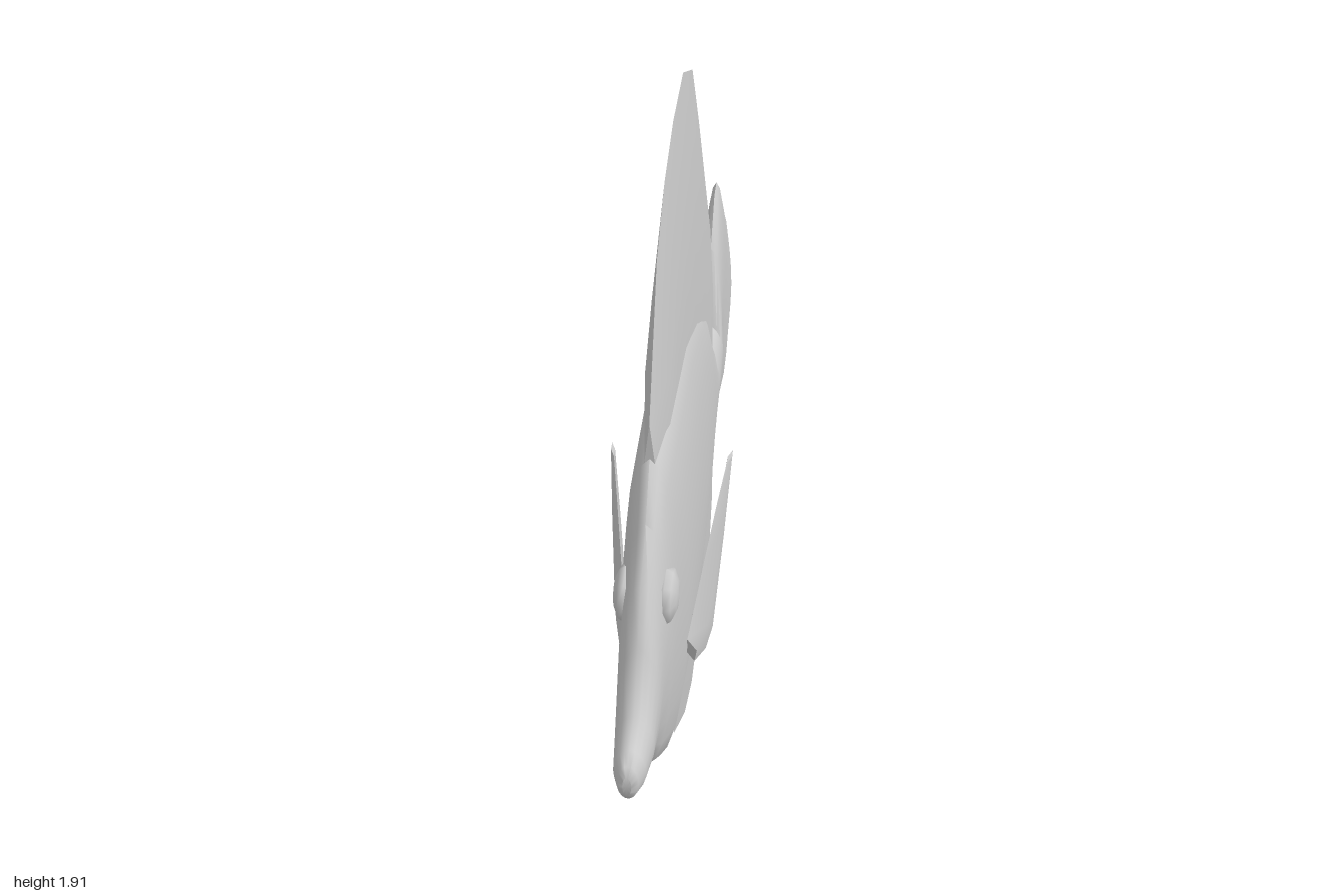
import * as THREE from 'three';
import { toCreasedNormals } from 'three/addons/utils/BufferGeometryUtils.js';

const material = new THREE.MeshStandardMaterial({ color: 0xcccccc });

// Skin a series of closed rings (arrays of [x, y, z]) and cap both ends.
function loft(name, rings, crease = 0.7) {
  const n = rings[0].length;
  const points = rings.flat();
  const index = [];
  for (let i = 0; i < rings.length - 1; i++) {
    for (let j = 0; j < n; j++) {
      const k = (j + 1) % n;
      const a = i * n + j, b = i * n + k, c = a + n, d = b + n;
      index.push(a, b, c, b, d, c);
    }
  }
  const cap = (ring, start, flip) => {
    const centre = [0, 1, 2].map((k) => ring.reduce((s, p) => s + p[k], 0) / n);
    points.push(centre);
    for (let j = 0; j < n; j++) {
      const a = start + j, b = start + ((j + 1) % n), c = points.length - 1;
      if (flip) index.push(b, a, c);
      else index.push(a, b, c);
    }
  };
  cap(rings[0], 0, true);
  cap(rings[rings.length - 1], (rings.length - 1) * n, false);

  // Turn the faces outward if the enclosed volume comes out negative.
  const v = points.map((p) => new THREE.Vector3(...p));
  let volume = 0;
  for (let i = 0; i < index.length; i += 3) {
    volume += v[index[i]].dot(v[index[i + 1]].clone().cross(v[index[i + 2]]));
  }
  if (volume < 0) index.reverse();

  const geometry = new THREE.BufferGeometry().setFromPoints(v);
  geometry.setIndex(index);
  const mesh = new THREE.Mesh(toCreasedNormals(geometry, crease), material);
  mesh.name = name;
  return mesh;
}

// Upright elliptical section at z, from bottom to top, with a half width.
function oval([z, bottom, top, halfWidth]) {
  return Array.from({ length: 20 }, (_, i) => {
    const a = (i / 20) * Math.PI * 2;
    return [Math.sin(a) * halfWidth, (top + bottom) / 2 + Math.cos(a) * (top - bottom) / 2, z];
  });
}

// Fin section: an even slab that narrows to a sharp edge at the tip.
function blade([z, base, tip, t]) {
  const height = tip - base;
  const shoulder = tip - Math.sign(height) * Math.min(0.3, Math.abs(height) * 0.6);
  return [[t, base, z], [t, shoulder, z], [0, tip, z], [-t, shoulder, z], [-t, base, z]];
}

export function createModel() {
  const fish = new THREE.Group();
  fish.name = 'fish';

  // Snout, deep flat body and tail stalk: z, bottom, top, half width
  fish.add(loft('body', [
    [1.0, 0.67, 0.72, 0.01], [0.985, 0.65, 0.74, 0.025], [0.95, 0.64, 0.758, 0.037],
    [0.87, 0.623, 0.79, 0.045], [0.8, 0.594, 0.92, 0.05], [0.74, 0.56, 1.05, 0.053],
    [0.65, 0.473, 1.155, 0.059], [0.575, 0.42, 1.28, 0.066], [0.46, 0.35, 1.315, 0.075],
    [0.3, 0.36, 1.34, 0.077], [0.13, 0.38, 1.35, 0.075], [0.05, 0.39, 1.33, 0.073],
    [-0.1, 0.455, 1.285, 0.068], [-0.2, 0.5, 1.235, 0.063], [-0.3, 0.585, 1.175, 0.058],
    [-0.4, 0.67, 1.05, 0.053], [-0.49, 0.745, 0.922, 0.049], [-0.61, 0.77, 0.94, 0.044],
  ].map(oval), 1));

  // Tail fin
  fish.add(loft('tailFin', [
    [-0.6, 0.772, 0.935, 0.044], [-0.69, 0.69, 1.12, 0.031], [-0.77, 0.618, 1.235, 0.03],
    [-0.82, 0.577, 1.25, 0.03], [-0.85, 0.56, 1.215, 0.03], [-0.89, 0.56, 1.165, 0.03],
    [-0.92, 0.61, 1.13, 0.03], [-0.96, 0.675, 1.05, 0.029], [-0.985, 0.735, 0.97, 0.027],
    [-1.0, 0.8, 0.92, 0.018],
  ].map(oval), 1));

  // Tall back fin: z, base, tip, half thickness
  fish.add(loft('dorsalFin', [
    [0.575, 1.2, 1.37, 0.012], [0.43, 1.22, 1.7, 0.028], [0.29, 1.24, 1.82, 0.03],
    [0.13, 1.24, 1.89, 0.03], [-0.06, 1.2, 1.92, 0.03], [-0.25, 1.1, 1.84, 0.03],
    [-0.39, 0.98, 1.64, 0.03], [-0.5, 0.925, 1.4, 0.026], [-0.57, 0.95, 1.11, 0.015],
    [-0.6, 0.975, 0.99, 0.004],
  ].map(blade)));

  // Belly fin
  fish.add(loft('analFin', [
    [0.33, 0.42, 0.36, 0.006], [0.15, 0.45, 0.21, 0.022], [0.13, 0.45, 0.15, 0.025],
    [-0.11, 0.52, 0.03, 0.03], [-0.27, 0.62, 0.008, 0.03], [-0.42, 0.74, 0.06, 0.03],
    [-0.5, 0.748, 0.17, 0.028], [-0.54, 0.74, 0.23, 0.024], [-0.59, 0.73, 0.4, 0.015],
    [-0.61, 0.7, 0.5, 0.005],
  ].map(blade)));

  for (const side of [1, -1]) {
    const label = side > 0 ? 'left' : 'right';

    // Side fin, splayed outward toward its tip: lower edge, upper edge, half thickness
    const pectoral = [
      [0.42, 0.61, 0.47, 0.71, 0.014], [0.34, 0.59, 0.41, 0.785, 0.016],
      [0.29, 0.62, 0.36, 0.85, 0.014], [0.215, 0.84, 0.27, 0.96, 0.01],
      [0.155, 1.045, 0.2, 1.035, 0.005],
    ].map(([z1, y1, z2, y2, t]) => {
      const out = (z) => 0.075 + (0.46 - z) * 0.23;
      const z = (z1 + z2) / 2, y = (y1 + y2) / 2;
      return [[out(z1), y1, z1], [out(z) + t, y, z], [out(z2), y2, z2], [out(z) - t, y, z]]
        .map((p) => [p[0] * side, p[1], p[2]]);
    });
    fish.add(loft(label + 'PectoralFin', pectoral, 1));

    // Flattened eye, its pole facing sideways
    const eyeGeometry = new THREE.SphereGeometry(0.07, 8, 6);
    eyeGeometry.rotateZ(-side * Math.PI / 2);
    const eye = new THREE.Mesh(eyeGeometry, material);
    eye.name = label + 'Eye';
    eye.scale.x = 0.42;
    eye.position.set(side * 0.046, 0.965, 0.645);
    fish.add(eye);
  }
  return fish;
}
